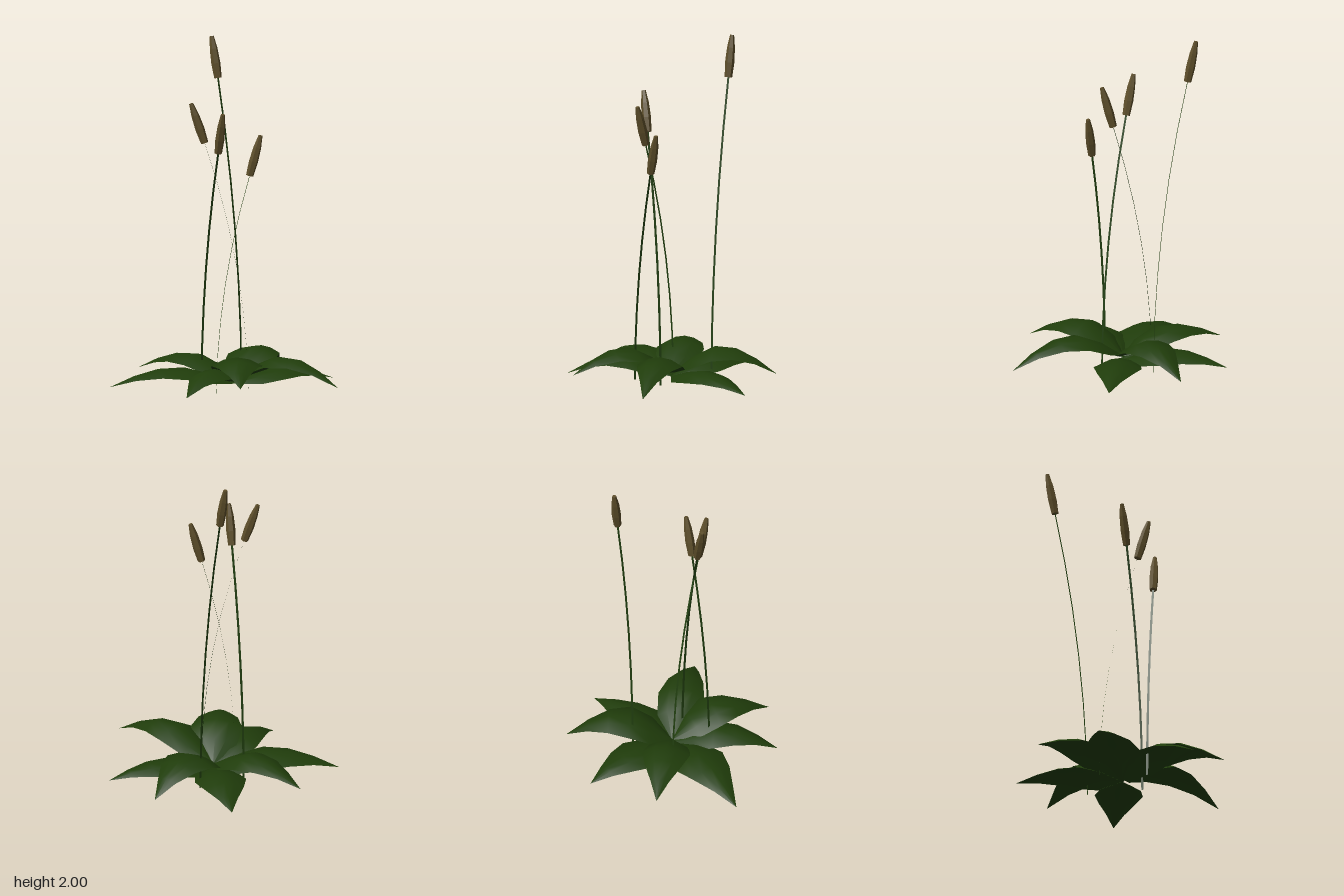
import * as THREE from 'three';

const leafMat = new THREE.MeshStandardMaterial({ name: 'leaf green', color: 0x203d0b, side: THREE.DoubleSide });
const stalkMat = new THREE.MeshStandardMaterial({ name: 'stalk green', color: 0x203d0f, side: THREE.DoubleSide });
const headMat = new THREE.MeshStandardMaterial({ name: 'seed brown', color: 0x5c4d29 });

const CENTRE = new THREE.Vector3(-0.025, 0, 0);
const WIDTH = [0.03, 0.85, 1, 0.76, 0.38, 0.005]; // half-width factor along the leaf
const RISE = [0, 0.62, 1, 0.95, 0.58, 0]; // arch factor along the leaf

// Arched leaf blade whose sides fall away from the midrib
function makeLeaf([tipX, tipZ, halfWidth, baseY, peakY, tipY]) {
  const rows = WIDTH.length - 1;
  const geo = new THREE.PlaneGeometry(2, 1, 4, rows);
  const dir = new THREE.Vector3(tipX - CENTRE.x, 0, tipZ - CENTRE.z);
  const length = dir.length();
  dir.normalize();
  const side = new THREE.Vector3(-dir.z, 0, dir.x);
  const pos = geo.attributes.position;
  const p = new THREE.Vector3();
  for (let i = 0; i < pos.count; i++) {
    const u = pos.getX(i);
    const t = pos.getY(i) + 0.5;
    const k = Math.round(t * rows);
    const end = t < 0.5 ? baseY : tipY;
    p.copy(CENTRE).addScaledVector(dir, t * length).addScaledVector(side, u * WIDTH[k] * halfWidth);
    p.y = end + (peakY - end) * RISE[k] - 0.05 * u * u * WIDTH[k];
    pos.setXYZ(i, p.x, Math.max(p.y, 0.02), p.z);
  }
  geo.computeVertexNormals();
  const mesh = new THREE.Mesh(geo, leafMat);
  mesh.name = 'leaf';
  return mesh;
}

// Flat ribbon stalk, wide across its bending direction
function makeStalk(base, top) {
  const geo = new THREE.PlaneGeometry(0.013, 1, 1, 6);
  const bend = new THREE.Vector3(top.x - base.x, 0, top.z - base.z).normalize();
  const side = new THREE.Vector3(-bend.z, 0, bend.x);
  const middle = base.clone().setY(top.y * 0.5).addScaledVector(bend, 0.008);
  const curve = new THREE.QuadraticBezierCurve3(base, middle, top);
  const pos = geo.attributes.position;
  for (let i = 0; i < pos.count; i++) {
    const p = curve.getPoint(pos.getY(i) + 0.5).addScaledVector(side, pos.getX(i));
    pos.setXYZ(i, p.x, p.y, p.z);
  }
  geo.computeVertexNormals();
  const mesh = new THREE.Mesh(geo, stalkMat);
  mesh.name = 'stalk';
  return mesh;
}

// Six-sided tapered seed head with flat ends, lying along the line from bottom to top
function makeHead(bottom, top) {
  const axis = top.clone().sub(bottom);
  const length = axis.length();
  const profile = [[0, 0], [0.022, 0], [0.027, 0.35], [0.023, 0.7], [0.012, 1], [0, 1]]
    .map(([r, t]) => new THREE.Vector2(r, t * length));
  const mesh = new THREE.Mesh(new THREE.LatheGeometry(profile, 6).toNonIndexed(), headMat);
  mesh.geometry.computeVertexNormals();
  mesh.position.copy(bottom);
  mesh.quaternion.setFromUnitVectors(new THREE.Vector3(0, 1, 0), axis.normalize());
  mesh.name = 'seedHead';
  return mesh;
}

export function createModel() {
  const plant = new THREE.Group();
  plant.name = 'plant';

  // Rosette: tip x, tip z, half width, base, peak and tip heights
  const rosette = new THREE.Group();
  rosette.name = 'leafRosette';
  const leaves = [
    [0.04, -0.61, 0.155, 0.05, 0.21, 0.06],
    [0.43, -0.43, 0.14, 0.03, 0.105, 0.025],
    [0.668, 0.16, 0.135, 0.05, 0.21, 0.06],
    [0.212, 0.568, 0.15, 0.05, 0.22, 0.09],
    [-0.105, 0.605, 0.135, 0.04, 0.148, 0.027],
    [-0.667, 0.342, 0.165, 0.03, 0.13, 0.025],
    [-0.655, -0.12, 0.14, 0.05, 0.185, 0.075],
    [-0.4, -0.49, 0.15, 0.03, 0.105, 0.025],
  ];
  for (const leaf of leaves) rosette.add(makeLeaf(leaf));
  plant.add(rosette);

  // Flower stems: stalk base (x, z), head bottom, head top
  const stems = [
    [[-0.06, -0.23], [-0.238, 1.76, -0.327], [-0.284, 2.0, -0.348]],
    [[0.084, 0.062], [-0.157, 1.452, 0.139], [-0.232, 1.682, 0.163]],
    [[-0.228, -0.008], [-0.07, 1.397, 0.15], [-0.025, 1.632, 0.198]],
    [[-0.06, 0.213], [0.112, 1.27, 0.12], [0.168, 1.505, 0.088]],
  ];
  for (const [[x, z], bottom, top] of stems) {
    const stem = new THREE.Group();
    stem.name = 'flowerStem';
    const headBottom = new THREE.Vector3(...bottom);
    stem.add(makeStalk(new THREE.Vector3(x, 0, z), headBottom));
    stem.add(makeHead(headBottom, new THREE.Vector3(...top)));
    plant.add(stem);
  }
  return plant;
}
